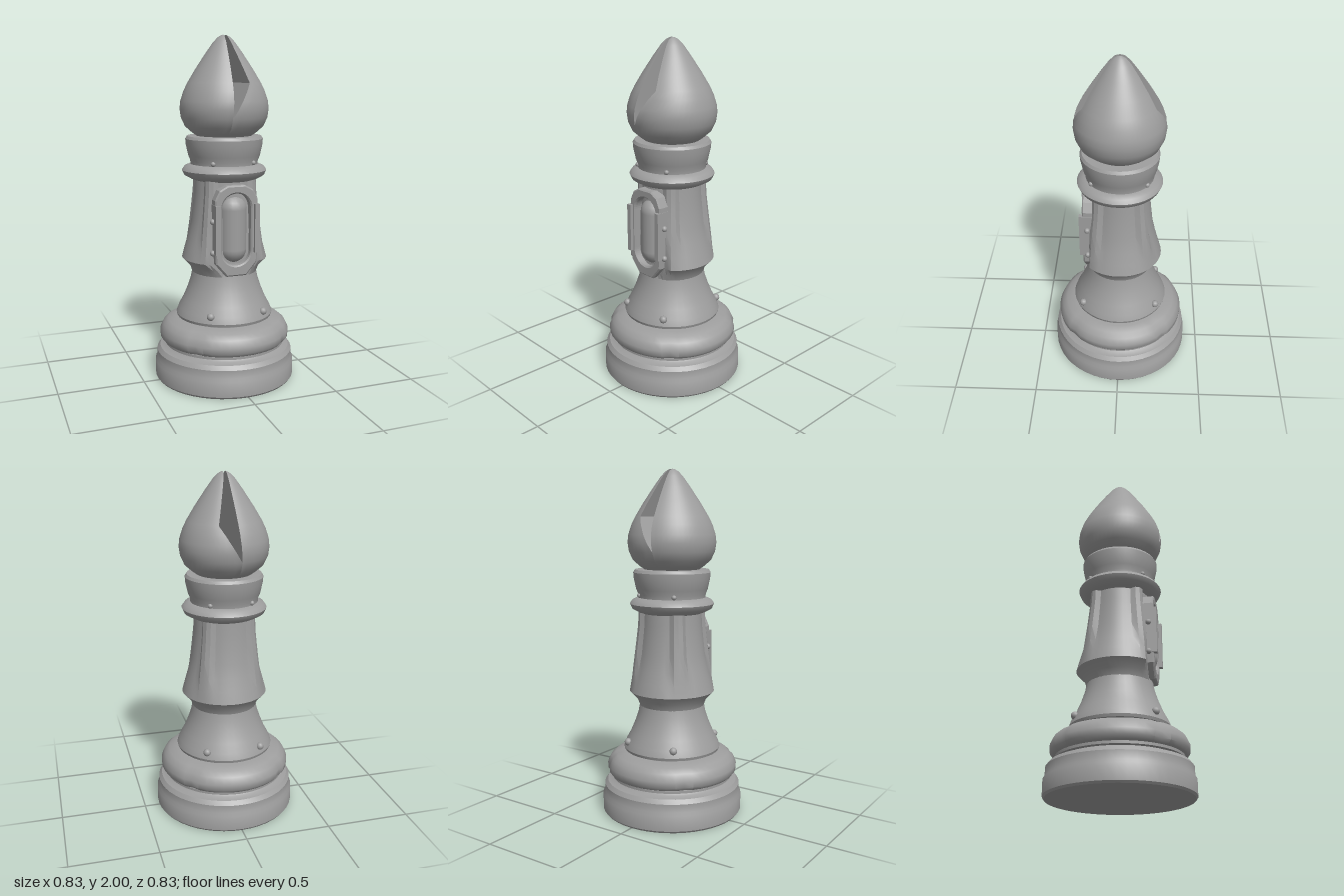
import * as THREE from 'three';
import { toCreasedNormals } from 'three/addons/utils/BufferGeometryUtils.js';

const stone = new THREE.MeshStandardMaterial({ color: 0x9e9e9e });
stone.name = 'grey stone';

function add(parent, name, geometry) {
  const mesh = new THREE.Mesh(geometry, stone);
  mesh.name = name;
  parent.add(mesh);
  return mesh;
}

// Turned part from [radius, y] pairs, bottom to top; edges sharper than the crease stay crisp.
function turned(profile, segments = 40, crease = 0.6, rule = null) {
  const g = new THREE.LatheGeometry(profile.map(([r, y]) => new THREE.Vector2(r, y)), segments);
  if (rule) {
    const p = g.attributes.position, v = new THREE.Vector3();
    for (let i = 0; i < p.count; i++) {
      rule(v.fromBufferAttribute(p, i));
      p.setXYZ(i, v.x, v.y, v.z);
    }
  }
  return toCreasedNormals(g, crease);
}

// Skin over equal-length rows of points.
function loft(rows) {
  const n = rows[0].length, index = [];
  for (let i = 0; i < rows.length - 1; i++) {
    for (let j = 0; j < n - 1; j++) {
      const a = i * n + j;
      index.push(a, a + n, a + 1, a + 1, a + n, a + n + 1);
    }
  }
  const g = new THREE.BufferGeometry();
  g.setAttribute('position', new THREE.Float32BufferAttribute(rows.flat(2), 3));
  g.setIndex(index);
  g.computeVertexNormals();
  return g;
}

const mix = THREE.MathUtils.lerp;

// Angle to the nearest diagonal, 0 to PI/4.
function diagonalAngle(v) {
  const q = Math.PI / 2, a = Math.atan2(v.z, v.x) + 2 * Math.PI;
  return Math.abs((a % q) - q / 2);
}

// Onion-shaped head, split by a wedge-shaped slit running front to back.
function makeHead() {
  const head = new THREE.Group();
  head.name = 'head';
  const profile = [[0.15, 1.43], [0.185, 1.455], [0.225, 1.49], [0.248, 1.54], [0.255, 1.59], [0.25, 1.635],
    [0.232, 1.69], [0.21, 1.735], [0.165, 1.81], [0.105, 1.9], [0.062, 1.96], [0.035, 1.988], [0.012, 2], [0.0085, 2]];
  const leftEdge = (y) => mix(-0.037, -0.007, Math.max(0, (y - 1.54) / 0.46));
  const rightEdge = (y) => y < 1.735
    ? mix(-0.037, 0.08, Math.max(0, (y - 1.54) / 0.195))
    : mix(0.08, 0.008, (y - 1.735) / 0.265);
  for (const [side, edge] of [['left', rightEdge], ['right', leftEdge]]) {
    const skin = [], wall = [];
    for (const [r, y] of profile) {
      const x = edge(y), a = Math.acos(THREE.MathUtils.clamp(x / r, -1, 1));
      const [from, to] = side === 'left' ? [-a, a] : [a, 2 * Math.PI - a];
      const row = [];
      for (let j = 0; j <= 24; j++) {
        const t = mix(from, to, j / 24);
        row.push([r * Math.cos(t), y, r * Math.sin(t)]);
      }
      skin.push(row);
      if (y >= 1.54) wall.push([row[24], row[0]]);
    }
    add(head, side + 'HeadHalf', loft(skin));
    add(head, side + 'SlitWall', toCreasedNormals(loft(wall), 0.3));
  }
  return head;
}

// Framed niche with a capsule on the front of the column.
function makeNiche() {
  const niche = new THREE.Group();
  niche.name = 'niche';
  const outer = [[0.055, 0.66], [0.115, 0.73], [0.12, 0.8], [0.12, 1.09], [0.095, 1.14], [0.05, 1.165]];
  const shape = new THREE.Shape([...outer, ...outer.slice().reverse().map(([x, y]) => [-x, y])]
    .map(([x, y]) => new THREE.Vector2(x, y)));
  const hole = new THREE.Path();
  hole.absarc(0, 1.04, 0.095, 0, Math.PI, false);
  hole.absarc(0, 0.8, 0.095, Math.PI, 2 * Math.PI, false);
  shape.holes.push(hole);
  const frame = new THREE.ExtrudeGeometry(shape, {
    depth: 0.08, bevelEnabled: true, bevelThickness: 0.008, bevelSize: 0.008, bevelSegments: 1, curveSegments: 12,
  });
  add(niche, 'nicheFrame', frame).position.z = 0.125;

  const capsule = add(niche, 'capsule', new THREE.CapsuleGeometry(0.083, 0.23, 6, 20));
  capsule.position.set(0, 0.915, 0.135);

  // Raised rails and small pegs on both sides of the frame
  for (const s of [-1, 1]) {
    add(niche, 'sideRail', new THREE.BoxGeometry(0.028, 0.28, 0.09)).position.set(s * 0.117, 0.925, 0.187);
    for (const y of [0.79, 0.97]) {
      add(niche, 'peg', new THREE.SphereGeometry(0.017, 10, 8)).position.set(s * 0.133, y, 0.185);
    }
  }
  return niche;
}

export function createModel() {
  const model = new THREE.Group();
  model.name = 'chessBishop';

  add(model, 'foot', turned([[0, 0], [0.405, 0], [0.414, 0.012], [0.414, 0.1], [0.403, 0.118], [0.403, 0.165],
    [0.385, 0.188], [0.35, 0.195], [0.34, 0.205], [0.355, 0.21], [0.355, 0.225], [0.3, 0.23]], 48));

  // Bulging ring, chipped on the diagonals
  add(model, 'baseRing', turned([[0.33, 0.222], [0.365, 0.23], [0.382, 0.25], [0.384, 0.285], [0.365, 0.325],
    [0.335, 0.35], [0.29, 0.362], [0.262, 0.366], [0.262, 0.38]], 48, 0.7, (v) => {
    if (diagonalAngle(v) < 0.04) { v.x *= 0.975; v.z *= 0.975; }
  }));

  add(model, 'bell', turned([[0.255, 0.372], [0.28, 0.374], [0.285, 0.39], [0.272, 0.425], [0.245, 0.475], [0.218, 0.54],
    [0.198, 0.6], [0.187, 0.66], [0.18, 0.72]], 40));

  // Column with raised corner ridges and a flattened front
  add(model, 'column', turned([[0.19, 0.64], [0.205, 0.68], [0.249, 0.725], [0.232, 0.79], [0.212, 0.86], [0.193, 0.95],
    [0.182, 1.05], [0.175, 1.12], [0.172, 1.2]], 48, 0.45, (v) => {
    const ridge = 1 - THREE.MathUtils.smoothstep(diagonalAngle(v), 0.08, 0.26);
    const k = 1 + 0.14 * ridge * THREE.MathUtils.smoothstep(v.y, 0.72, 0.95);
    v.x *= k;
    v.z = Math.min(v.z * k, 0.175);
  }));

  add(model, 'collarRing', turned([[0.16, 1.18], [0.195, 1.192], [0.232, 1.212], [0.245, 1.24], [0.23, 1.262],
    [0.2, 1.275], [0.17, 1.28]], 40, 0.8));
  add(model, 'collar', turned([[0.195, 1.27], [0.196, 1.295], [0.208, 1.325], [0.221, 1.385], [0.224, 1.42],
    [0.214, 1.436], [0.13, 1.438]], 40));

  // Rivets on the four diagonals of the bell and the collar
  for (const sx of [-1, 1]) {
    for (const sz of [-1, 1]) {
      for (const [x, y, z, r] of [[0.16, 0.43, 0.22, 0.022], [0.12, 1.29, 0.155, 0.014]]) {
        const rivet = add(model, 'rivet', new THREE.SphereGeometry(r, 12, 8));
        rivet.position.set(sx * x, y, sz * z);
      }
    }
  }

  model.add(makeNiche(), makeHead());
  return model;
}
